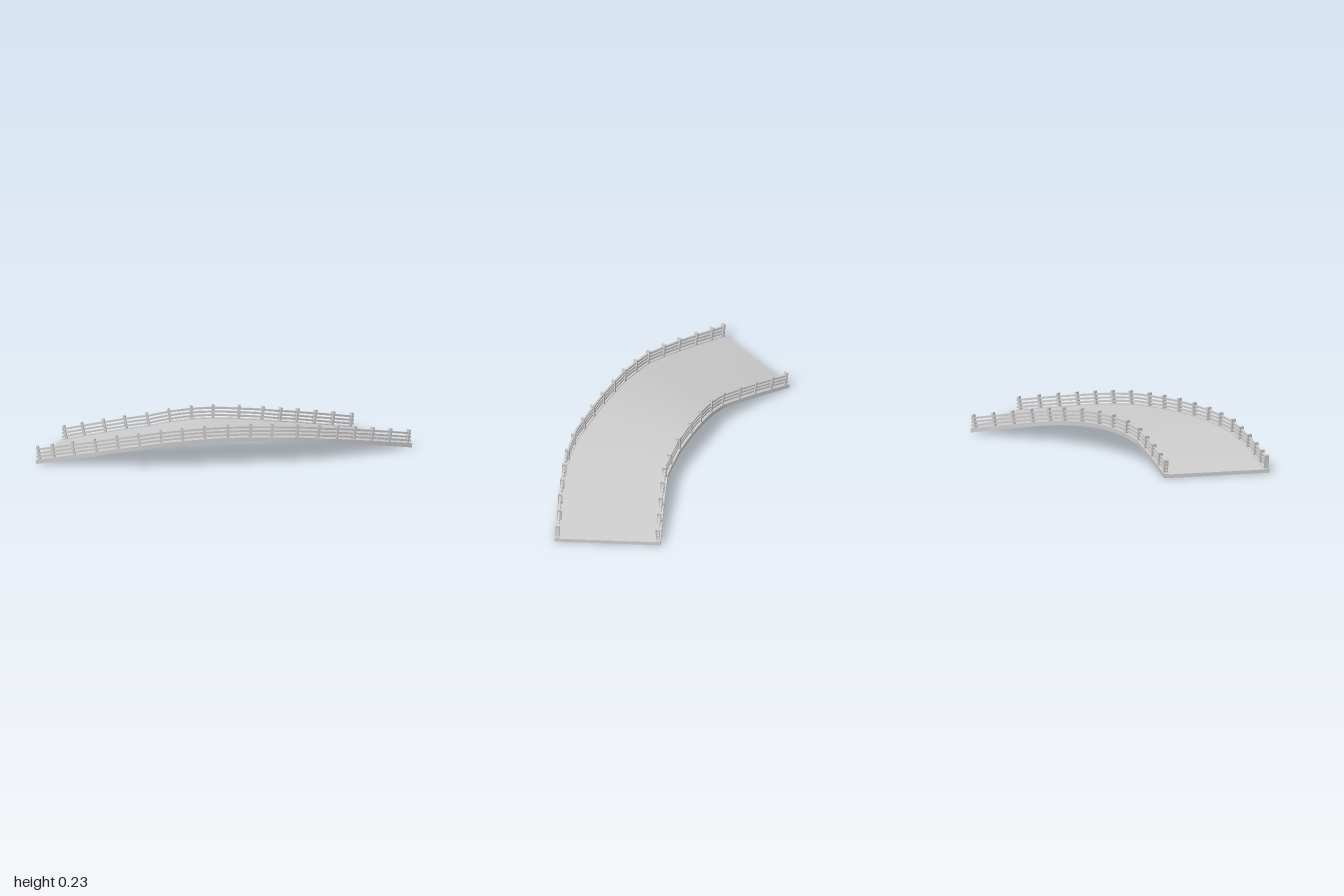
import * as THREE from 'three';
import { toCreasedNormals } from 'three/addons/utils/BufferGeometryUtils.js';

// Stations along the bridge: outer x, z, inner x, z, deck height
const stations = [
  [-1, -0.208, -0.54, -0.613, 0.02],
  [-0.78, 0.02, -0.36, -0.43, 0.074],
  [-0.58, 0.198, -0.19, -0.265, 0.117],
  [-0.37, 0.317, -0.06, -0.195, 0.142],
  [-0.12, 0.428, 0.1, -0.125, 0.151],
  [0.2, 0.556, 0.29, -0.047, 0.138],
  [0.42, 0.603, 0.48, 0.008, 0.112],
  [0.72, 0.613, 0.74, 0.015, 0.068],
  [1, 0.613, 1, 0.017, 0.02],
];
const last = stations.length - 1;
const STEPS = last * 4;
const heights = new THREE.CatmullRomCurve3(stations.map((s, i) => new THREE.Vector3(i, s[4], 0)));

// Point on the outer (0) or inner (1) edge at station parameter t
function edge(side, t) {
  const i = Math.min(Math.floor(t), last - 1);
  const a = stations[i], b = stations[i + 1], k = side * 2;
  return new THREE.Vector3(
    THREE.MathUtils.lerp(a[k], b[k], t - i),
    heights.getPoint(t / last).y,
    THREE.MathUtils.lerp(a[k + 1], b[k + 1], t - i));
}

// Local directions on an edge: inward across the deck and up (normal to the slope)
function frame(side, t) {
  const along = edge(side, Math.min(t + 0.15, last)).sub(edge(side, Math.max(t - 0.15, 0))).normalize();
  const inward = new THREE.Vector3(along.z, 0, -along.x).normalize();
  const up = new THREE.Vector3().crossVectors(inward, along).normalize();
  if (up.y < 0) up.negate();
  if (side === 1) inward.negate();
  return { inward, up };
}

// Skin a series of four-cornered cross-sections and close both ends
function loft(rings) {
  const pos = [], index = [];
  rings.forEach(r => r.forEach(p => pos.push(p.x, p.y, p.z)));
  for (let i = 0; i < rings.length - 1; i++) {
    for (let j = 0; j < 4; j++) {
      const a = i * 4 + j, b = i * 4 + (j + 1) % 4;
      index.push(a, b, a + 4, b, b + 4, a + 4);
    }
  }
  const e = (rings.length - 1) * 4;
  index.push(0, 2, 1, 0, 3, 2, e, e + 1, e + 2, e, e + 2, e + 3);
  const geo = new THREE.BufferGeometry();
  geo.setAttribute('position', new THREE.Float32BufferAttribute(pos, 3));
  geo.setIndex(index);
  return toCreasedNormals(geo, 0.5);
}

const sweep = ring => loft(Array.from({ length: STEPS + 1 }, (_, i) => ring(i / STEPS * last)));

// Rectangular bar along an edge, from inset a to b and from height y0 to y1
function bar(side, a, b, y0, y1) {
  return sweep(t => {
    const p = edge(side, t), { inward } = frame(side, t);
    const at = (d, y) => {
      const q = p.clone().addScaledVector(inward, d);
      q.y += y;
      return q;
    };
    const ring = [at(a, y0), at(a, y1), at(b, y1), at(b, y0)];
    return side === 0 ? ring.reverse() : ring;
  });
}

// Station parameter at which an edge reaches a given x
function paramAtX(side, x) {
  const k = side * 2;
  let i = 0;
  while (i < last - 1 && stations[i + 1][k] < x) i++;
  return i + (x - stations[i][k]) / (stations[i + 1][k] - stations[i][k]);
}

export function createModel() {
  const model = new THREE.Group();
  model.name = 'curvedBridge';
  const mat = new THREE.MeshStandardMaterial({ color: 0xcccccc });
  const add = (parent, geo, name) => {
    const mesh = new THREE.Mesh(geo, mat);
    mesh.name = name;
    parent.add(mesh);
    return mesh;
  };

  // Arched, curving deck slab
  add(model, sweep(t => {
    const o = edge(0, t), n = edge(1, t);
    const low = p => p.clone().setY(p.y - 0.02);
    return [low(o), low(n), n, o];
  }), 'deck');

  // Railing posts, placed by x on each side
  const postX = [
    [-0.988, -0.93, -0.85, -0.76, -0.668, -0.575, -0.465, -0.36, -0.245, -0.125, -0.005,
      0.11, 0.25, 0.375, 0.495, 0.61, 0.73, 0.85, 0.975],
    [-0.522, -0.45, -0.365, -0.28, -0.19, -0.085, 0.025, 0.135, 0.27, 0.4,
      0.5, 0.61, 0.73, 0.85, 0.975],
  ];
  const postGeo = new THREE.BoxGeometry(0.024, 0.09, 0.013);

  ['outerRailing', 'innerRailing'].forEach((name, side) => {
    const railing = new THREE.Group();
    railing.name = name;
    model.add(railing);

    // Low kerb along the deck edge
    add(railing, bar(side, 0, 0.028, -0.01, 0.004), 'kerb');

    // Three horizontal rails
    for (const y of [0.018, 0.038, 0.059]) {
      add(railing, bar(side, 0.01, 0.021, y - 0.005, y + 0.006), 'rail');
    }

    // Posts standing square to the slope
    for (const x of postX[side]) {
      const t = paramAtX(side, x);
      const { inward, up } = frame(side, t);
      const post = add(railing, postGeo, 'post');
      const third = new THREE.Vector3().crossVectors(inward, up);
      post.quaternion.setFromRotationMatrix(new THREE.Matrix4().makeBasis(inward, up, third));
      post.position.copy(edge(side, t)).addScaledVector(inward, 0.016).addScaledVector(up, 0.034);
    }
  });
  return model;
}
